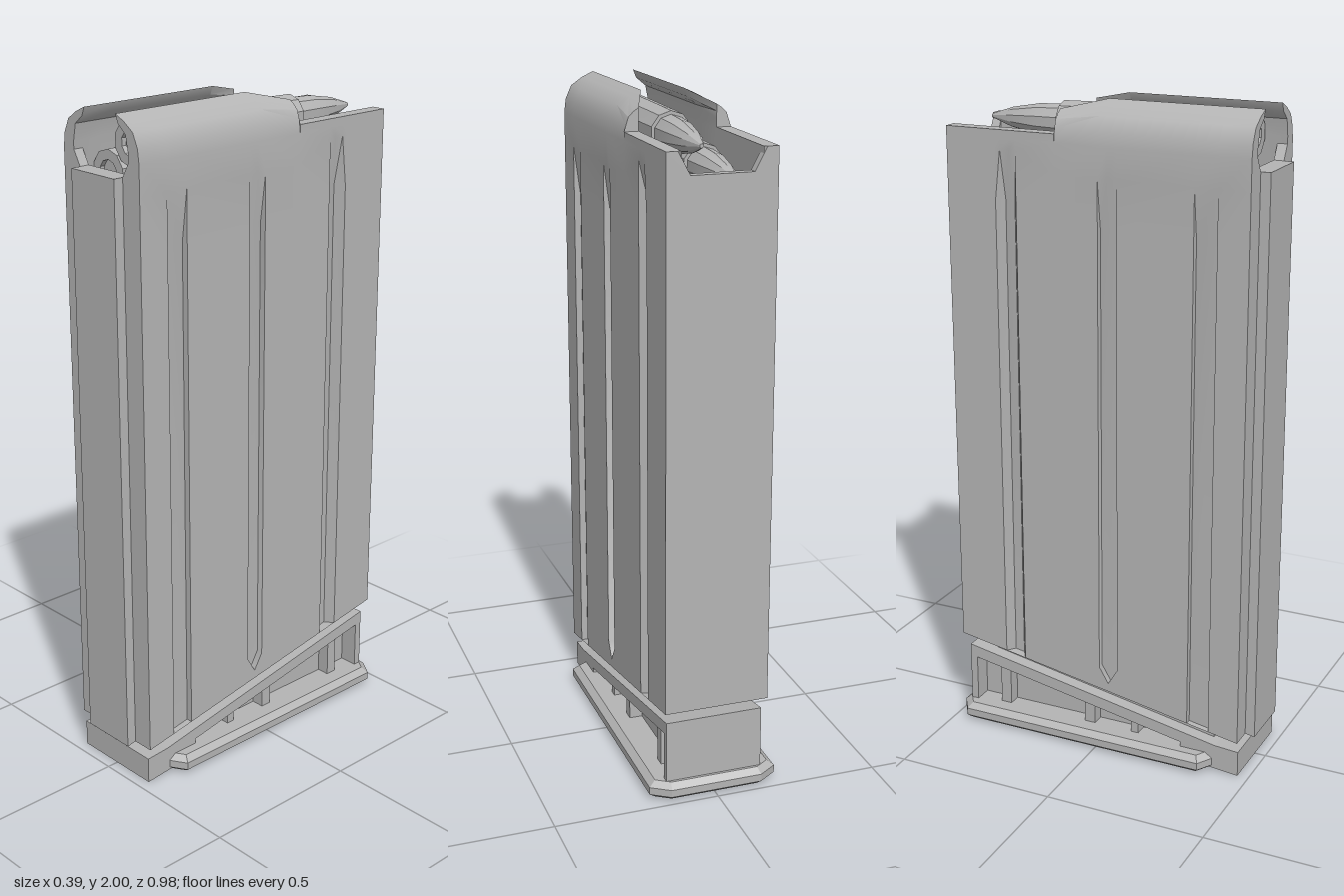
import * as THREE from 'three';
import { toCreasedNormals } from 'three/addons/utils/BufferGeometryUtils.js';

const grey = new THREE.MeshStandardMaterial({ color: 0xb4b4b4, side: THREE.DoubleSide });
grey.name = 'plain grey';

// Height of the slanted underside of the case at depth z
const bottomY = (z) => 0.11 + 0.18 * (0.495 - z);

function add(parent, name, geometry, x = 0, y = 0, z = 0) {
  const mesh = new THREE.Mesh(geometry, grey);
  mesh.name = name;
  mesh.position.set(x, y, z);
  parent.add(mesh);
  return mesh;
}

const shapeOf = (pts) => new THREE.Shape(pts.map(([a, b]) => new THREE.Vector2(a, b)));

// Extrude an (x, y) outline backwards and forwards in z
function frontExtrude(pts, z0, z1) {
  const g = new THREE.ExtrudeGeometry(shapeOf(pts), { depth: z1 - z0, bevelEnabled: false });
  return g.translate(0, 0, z0);
}

// Extrude a (z, y) outline across the width
function sideExtrude(pts, width, hole) {
  const s = shapeOf(pts);
  if (hole) s.holes.push(new THREE.Path(hole.map(([a, b]) => new THREE.Vector2(a, b))));
  const g = new THREE.ExtrudeGeometry(s, { depth: width, bevelEnabled: false });
  return g.translate(0, 0, -width / 2).rotateY(-Math.PI / 2);
}

// Upper ends of the side wall: outer curve, then back down the inside
const LIP = [[0.158, 1.88], [0.153, 1.92], [0.135, 1.96], [0.1, 1.984], [0.065, 2],
  [0.075, 1.975], [0.105, 1.95], [0.115, 1.9]];
const LIP_END = [[0.158, 1.88], [0.153, 1.92], [0.145, 1.945], [0.13, 1.96], [0.115, 1.97],
  [0.115, 1.95], [0.115, 1.93], [0.115, 1.9]];
const LOW = [[0.158, 1.88], [0.158, 1.905], [0.158, 1.905], [0.158, 1.905], [0.158, 1.905],
  [0.115, 1.905], [0.115, 1.905], [0.115, 1.9]];

// One vertical section of the side wall; a groove floor ramps out at its top
function column(z, top, depth = 0, start = null, ramp = 1.64, end = 1.79) {
  const yb = bottomY(z), g0 = start ?? yb, x = 0.158;
  const pts = [[x, yb], [x, g0], [x - depth, g0], [x - depth, ramp], [x, end],
    ...top, [0.115, yb], [x, yb]];
  return pts.map(([px, py]) => [px, py, z]);
}

const COLUMNS = [
  column(0.465, LIP),
  column(0.37, LIP), column(0.37, LIP, 0.02), column(0.3, LIP, 0.02), column(0.3, LIP),
  column(0.065, LIP, 0, 0.27), column(0.065, LIP, 0.02, 0.27), column(0.035, LIP, 0.02, 0.22),
  column(0.005, LIP, 0.02, 0.27), column(0.005, LIP, 0, 0.27),
  column(0, LIP), column(-0.13, LIP_END), column(-0.13, LOW),
  column(-0.255, LOW, 0, null, 1.7, 1.85), column(-0.275, LOW, 0.03, null, 1.7, 1.85),
  column(-0.305, LOW, 0.03, null, 1.7, 1.85), column(-0.322, LOW, 0, null, 1.7, 1.85),
  column(-0.48, LOW),
];

function sideWall(side) {
  const rows = COLUMNS[0].length, pos = [], index = [];
  COLUMNS.forEach((c) => c.forEach(([x, y, z]) => pos.push(side * x, y, z)));
  for (let c = 0; c < COLUMNS.length - 1; c++) {
    for (let r = 0; r < rows - 1; r++) {
      const a = c * rows + r, b = a + rows, d = a + 1, e = b + 1;
      if (side > 0) index.push(a, b, d, b, e, d);
      else index.push(a, d, b, b, d, e);
    }
  }
  const g = new THREE.BufferGeometry();
  g.setAttribute('position', new THREE.Float32BufferAttribute(pos, 3));
  g.setIndex(index);
  return toCreasedNormals(g, 0.55);
}

function cartridge() {
  // Primer recess, rim, extractor groove, case, neck and pointed tip
  const profile = [[0, -0.385], [0.036, -0.385], [0.036, -0.4], [0.065, -0.4], [0.065, -0.375],
    [0.056, -0.365], [0.068, -0.345], [0.062, 0.12], [0.06, 0.2], [0.05, 0.2],
    [0.046, 0.28], [0.03, 0.37], [0.006, 0.44], [0, 0.44]];
  const g = new THREE.LatheGeometry(profile.map(([r, y]) => new THREE.Vector2(r, y)), 10);
  return toCreasedNormals(g.rotateX(-Math.PI / 2), 0.4);
}

export function createModel() {
  const model = new THREE.Group();
  model.name = 'boxMagazine';

  // Case: mirrored side walls with curved lips and pressed grooves
  const body = new THREE.Group();
  body.name = 'case';
  model.add(body);
  for (const side of [1, -1]) {
    const label = side > 0 ? 'left' : 'right';
    add(body, label + 'Wall', sideWall(side));
    const outline = COLUMNS[0].filter((p, i) => ![1, 2, 3, 4].includes(i)).slice(0, -1);
    add(body, label + 'FrontEdge', new THREE.ShapeGeometry(
      shapeOf(outline.map(([x, y]) => [side * x, y]))), 0, 0, 0.465);
  }
  // End walls with a trapezoid notch
  const yf = bottomY(0.465);
  add(body, 'frontWall', frontExtrude([[-0.116, yf], [0.116, yf], [0.116, 1.88], [0.09, 1.835],
    [-0.09, 1.835], [-0.116, 1.88]], 0.435, 0.465));
  const yr = bottomY(-0.48);
  add(body, 'rearWall', frontExtrude([[-0.158, yr], [0.158, yr], [0.158, 1.905], [0.125, 1.905],
    [0.09, 1.84], [-0.09, 1.84], [-0.125, 1.905], [-0.158, 1.905]], -0.48, -0.452));
  add(body, 'spine', sideExtrude([[0.495, 0.11], [0.495, 1.835], [0.46, 1.835],
    [0.46, bottomY(0.46)]], 0.18));
  add(body, 'caseFloor', sideExtrude([[0.464, yf], [0.464, yf + 0.03], [-0.479, yr + 0.03],
    [-0.479, yr]], 0.24));

  // Follower and the two top cartridges
  add(model, 'follower', new THREE.BoxGeometry(0.22, 0.03, 0.85), 0, 1.72, -0.01);
  add(model, 'upperCartridge', cartridge(), 0.045, 1.908, 0);
  add(model, 'lowerCartridge', cartridge(), -0.05, 1.815, 0);

  // Base: neck, wedge frame with recessed ribs, and floor plate
  const base = new THREE.Group();
  base.name = 'base';
  model.add(base);
  add(base, 'neck', sideExtrude([[0.37, 0.07], [0.37, 0.15], [-0.385, 0.28], [-0.385, 0.22]], 0.21));
  add(base, 'wedgeFrame', sideExtrude(
    [[0.465, 0], [0.465, 0.08], [0.39, 0.085], [-0.46, 0.245], [-0.46, 0.01], [0.36, 0.01]], 0.296,
    [[0.275, 0.055], [0.275, 0.07], [-0.437, 0.203], [-0.437, 0.055]]));
  add(base, 'wedgeCore', sideExtrude(
    [[0.3, 0.03], [0.3, 0.07], [-0.44, 0.21], [-0.44, 0.03]], 0.18));
  for (const [z0, z1] of [[0.125, 0.1], [-0.025, -0.06], [-0.325, -0.36]]) {
    const top = (z) => 0.125 - 0.187 * z;
    add(base, 'rib', sideExtrude([[z0, 0.04], [z0, top(z0)], [z1, top(z1)], [z1, 0.04]], 0.26));
  }
  const plate = shapeOf([[-0.135, -0.365], [0.135, -0.365], [0.177, -0.34], [0.177, 0.44],
    [0.135, 0.468], [-0.135, 0.468], [-0.177, 0.44], [-0.177, -0.34]]);
  const plateGeometry = new THREE.ExtrudeGeometry(plate, { depth: 0.023, bevelEnabled: true,
    bevelSegments: 1, bevelSize: 0.02, bevelThickness: 0.016 }).rotateX(-Math.PI / 2);
  add(base, 'floorPlate', plateGeometry, 0, 0.016, 0);

  return model;
}
